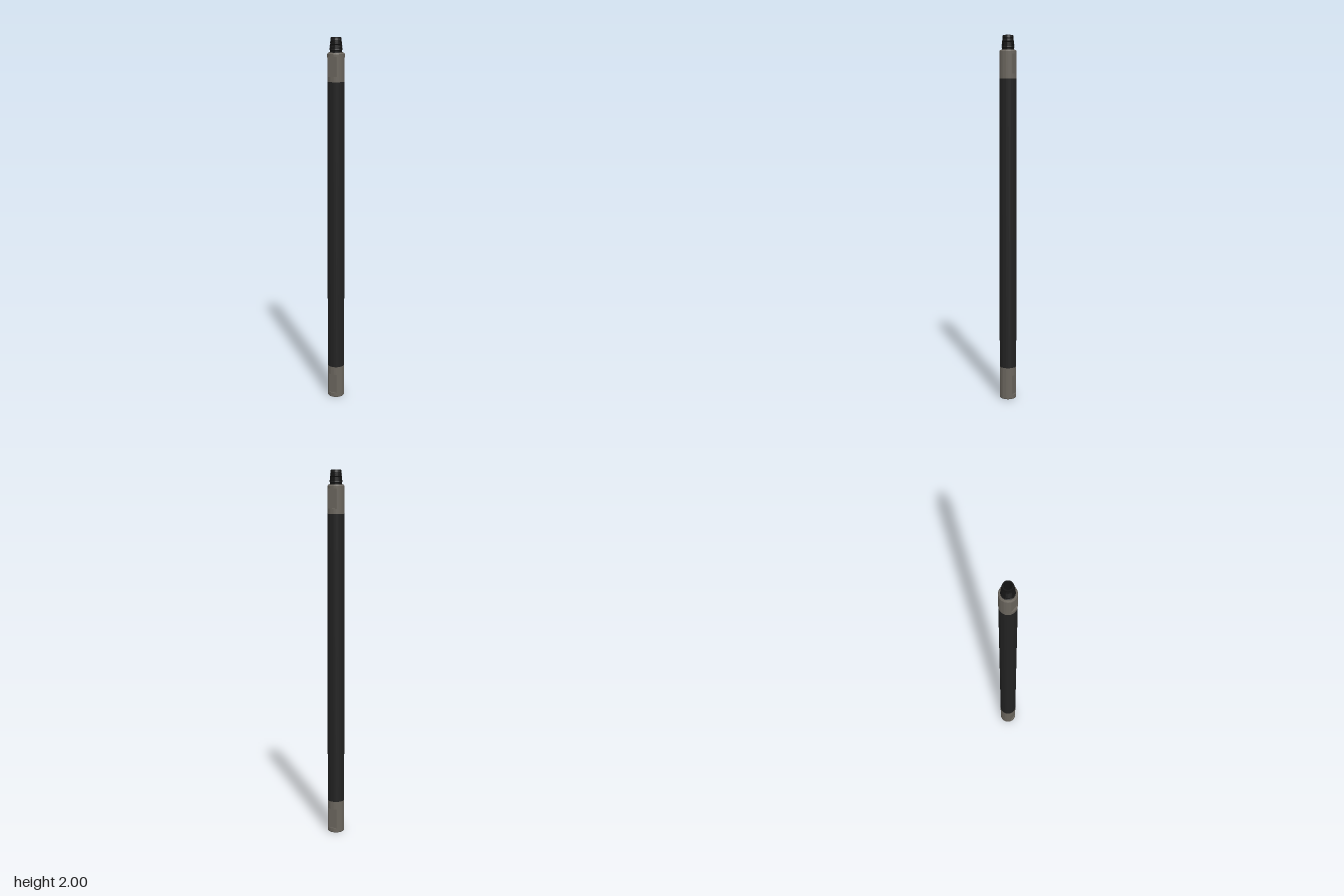
import * as THREE from 'three';
import { toCreasedNormals } from 'three/addons/utils/BufferGeometryUtils.js';

const SEGMENTS = 72;
const R = 0.046, BORE = 0.021, FLAT = 0.038;

const steel = new THREE.MeshStandardMaterial({ color: 0x6b665e });
steel.name = 'bare steel';
const coating = new THREE.MeshStandardMaterial({ color: 0x222222 });
coating.name = 'dark pipe coating';
const threadBlack = new THREE.MeshStandardMaterial({ color: 0x131313 });
threadBlack.name = 'black thread';

// Turned part from [radius, y, cut] rows; rows marked cut are clamped to the wrench flats.
function turned(name, rows, material) {
  const geo = new THREE.LatheGeometry(rows.map(([r, y]) => new THREE.Vector2(r, y)), SEGMENTS);
  const pos = geo.attributes.position;
  for (let i = 0; i < pos.count; i++) {
    if (rows[i % rows.length][2]) {
      pos.setZ(i, THREE.MathUtils.clamp(pos.getZ(i), -FLAT, FLAT));
    }
  }
  const mesh = new THREE.Mesh(toCreasedNormals(geo, 0.45), material);
  mesh.name = name;
  return mesh;
}

// Outer profile of the two opposite wrench flats between two heights
const flats = (y0, y1) => [[R, y0], [R, y0, true], [R, y1, true], [R, y1]];

// Sawtooth profile along a taper
function threadRows(r0, y0, r1, y1, turns, depth) {
  const rows = [];
  for (let i = 0; i < turns; i++) {
    const t = i / turns, u = (i + 0.5) / turns;
    rows.push([THREE.MathUtils.lerp(r0, r1, t), THREE.MathUtils.lerp(y0, y1, t)]);
    rows.push([THREE.MathUtils.lerp(r0, r1, u) - depth, THREE.MathUtils.lerp(y0, y1, u)]);
  }
  rows.push([r1, y1]);
  return rows;
}

export function createModel() {
  const model = new THREE.Group();
  model.name = 'drillRod';

  // Lower joint with wrench flats and chamfered foot
  model.add(turned('lowerJoint', [
    [0.036, 0], [0.043, 0], [R, 0.004], ...flats(0.025, 0.135), [R, 0.18],
  ], steel));

  // Tapered female thread inside the lower joint
  model.add(turned('socketThread', [
    [BORE, 0.09], [0.028, 0.085], ...threadRows(0.029, 0.08, 0.036, 0.006, 8, 0.002), [0.036, 0],
  ], threadBlack));

  // Main tube
  model.add(turned('pipeBody', [[R, 0.18], [R, 1.77]], coating));

  // Upper joint with wrench flats and chamfered shoulder
  model.add(turned('upperJoint', [
    [R, 1.77], ...flats(1.797, 1.902), [R, 1.915], [0.041, 1.922], [0.031, 1.922],
  ], steel));

  // Tapered male thread with a relief neck and chamfered nose
  model.add(turned('pinThread', [
    [0.036, 1.922], [0.032, 1.926], [0.032, 1.934],
    ...threadRows(0.035, 1.937, 0.03, 1.988, 7, 0.002),
    [0.027, 2], [BORE, 2],
  ], threadBlack));

  // Through bore
  model.add(turned('bore', [[BORE, 2], [BORE, 0.09]], threadBlack));

  return model;
}
